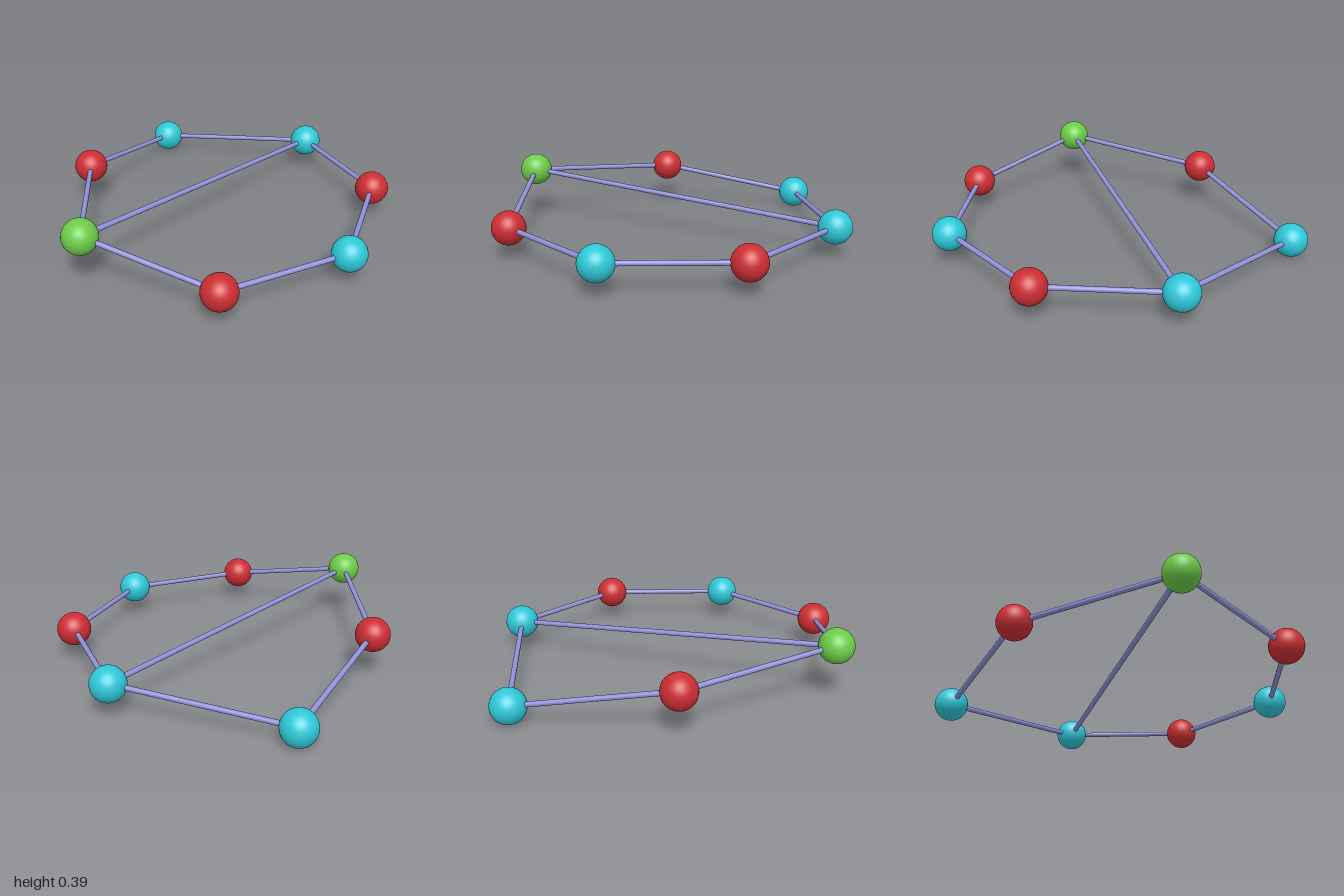
import * as THREE from 'three';

const BALL_RADIUS = 0.0925;
const ROD_RADIUS = 0.014;

// Balls in ring order: colour name and centre
const BALLS = [
  ['cyan', -0.834, 0.093, -0.63],
  ['cyan', 0.058, 0.165, -0.907],
  ['red', 0.668, 0.165, -0.527],
  ['cyan', 0.834, 0.165, 0.173],
  ['red', 0.45, 0.165, 0.78],
  ['green', -0.263, 0.3, 0.907],
  ['red', -0.793, 0.235, 0.203],
];

const COLORS = { cyan: 0x2ec8d8, red: 0xcc2e33, green: 0x6ccc48, rod: 0x9090d8 };

export function createModel() {
  const group = new THREE.Group();
  group.name = 'ballAndStickRing';

  const materials = {};
  for (const key in COLORS) materials[key] = new THREE.MeshStandardMaterial({ color: COLORS[key] });

  // Balls
  const ballGeometry = new THREE.SphereGeometry(BALL_RADIUS, 40, 28);
  const centres = BALLS.map(([color, x, y, z], i) => {
    const ball = new THREE.Mesh(ballGeometry, materials[color]);
    ball.name = `${color}Ball${i + 1}`;
    ball.position.set(x, y, z);
    group.add(ball);
    return ball.position;
  });

  // A rod running between two ball centres
  const addRod = (name, a, b) => {
    const direction = b.clone().sub(a);
    const geometry = new THREE.CylinderGeometry(ROD_RADIUS, ROD_RADIUS, direction.length(), 20);
    const rod = new THREE.Mesh(geometry, materials.rod);
    rod.name = name;
    rod.position.copy(a).add(b).multiplyScalar(0.5);
    rod.quaternion.setFromUnitVectors(new THREE.Vector3(0, 1, 0), direction.normalize());
    group.add(rod);
  };

  // Closed ring of rods, plus one rod crossing it
  centres.forEach((c, i) => addRod(`ringRod${i + 1}`, c, centres[(i + 1) % centres.length]));
  addRod('crossRod', centres[1], centres[5]);

  return group;
}
